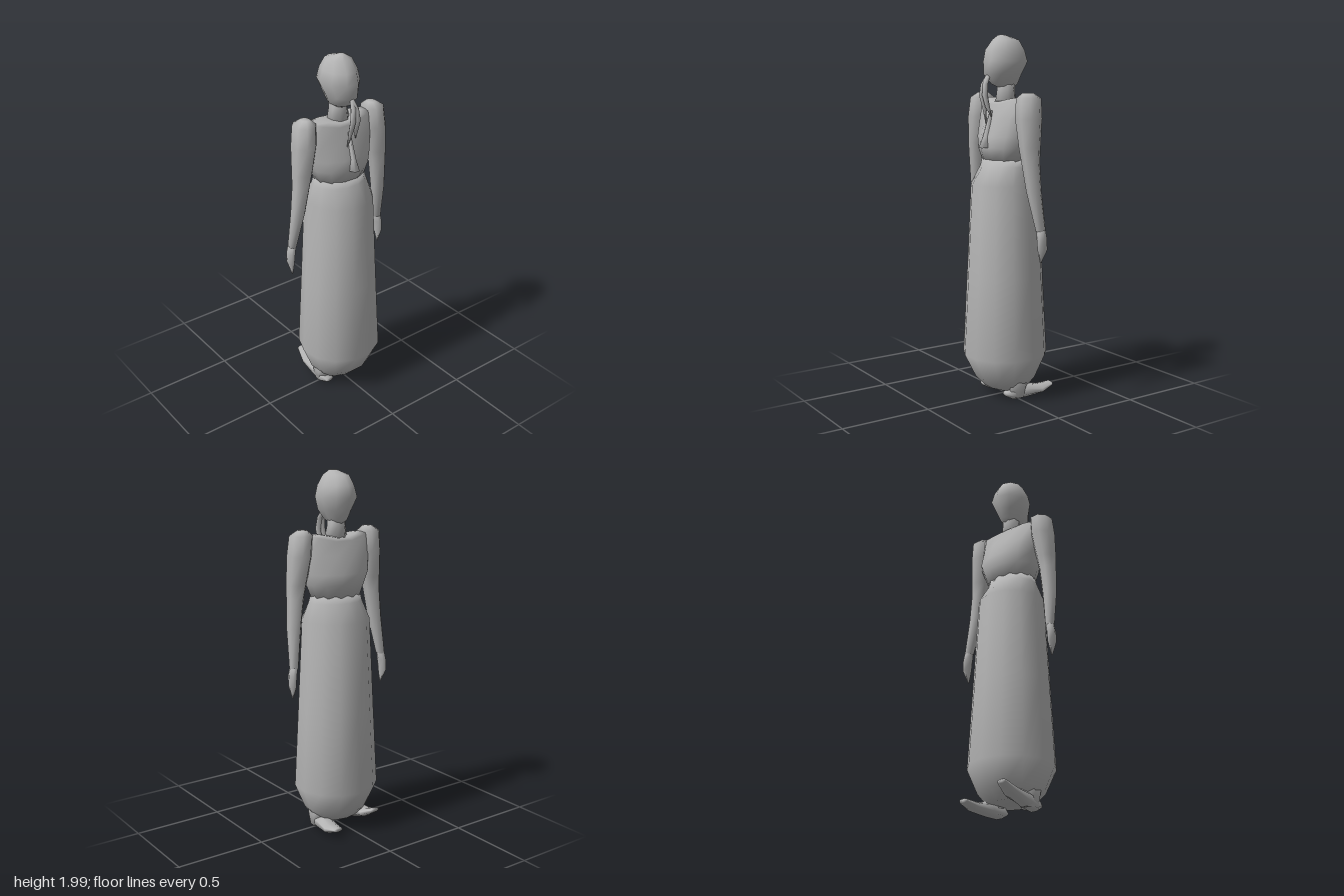
import * as THREE from 'three';

const grey = new THREE.MeshStandardMaterial({ color: 0xb4b4b4 });
grey.name = 'plainGrey';

// Smooth closed loft through flat elliptical rings [x, y, z, rx, rz], listed from top to bottom
function loft(name, rings, sides = 10, bend = null) {
  const pos = [], index = [], v = new THREE.Vector3();
  const add = (x, y, z) => {
    v.set(x, y, z);
    if (bend) bend(v);
    pos.push(v.x, v.y, v.z);
  };
  for (const [x, y, z, rx, rz] of rings) {
    for (let i = 0; i < sides; i++) {
      const a = ((i + 0.5) / sides) * Math.PI * 2;
      add(x + Math.sin(a) * rx, y, z + Math.cos(a) * rz);
    }
  }
  const last = rings.length - 1;
  const top = rings.length * sides, bottom = top + 1;
  add(...rings[0].slice(0, 3));
  add(...rings[last].slice(0, 3));
  for (let i = 0; i < sides; i++) {
    const j = (i + 1) % sides;
    for (let r = 0; r < last; r++) {
      const a = r * sides + i, b = r * sides + j;
      index.push(a, a + sides, b, b, a + sides, b + sides);
    }
    index.push(top, i, j, bottom, last * sides + j, last * sides + i);
  }
  const geo = new THREE.BufferGeometry();
  geo.setAttribute('position', new THREE.Float32BufferAttribute(pos, 3));
  geo.setIndex(index);
  geo.computeVertexNormals();
  const mesh = new THREE.Mesh(geo, grey);
  mesh.name = name;
  return mesh;
}

// Foot: cross-sections [z, centre y, half width, half height] from heel to toe
function foot(name, x, turn, toeLift) {
  const rings = [
    [0.07, 0.04, 0.025, 0.012], [0.03, 0.045, 0.045, 0.04], [-0.05, 0.045, 0.05, 0.04],
    [-0.14, 0.035, 0.05, 0.025], [-0.215, 0.05, 0.03, 0.012],
  ].map(([z, y, w, h]) => [0, -z, y, w, h]);
  const mesh = loft(name, rings.reverse(), 8, (p) => {
    const z = -p.y, y = p.z;
    p.set(p.x + x + turn * z, Math.max(0, y + toeLift * Math.max(0, -z)), z);
  });
  return mesh;
}

export function createModel() {
  const model = new THREE.Group();
  model.name = 'robedFigure';

  // Long skirt, pinched at waist and hem
  model.add(loft('skirt', [
    [0, 1.34, 0, 0.147, 0.113], [0, 1.3, 0, 0.157, 0.122], [0, 1.2, 0, 0.188, 0.188],
    [0, 0.7, 0, 0.213, 0.212], [0, 0.25, 0, 0.236, 0.236], [0, 0.12, 0, 0.185, 0.17],
    [0, 0.06, 0, 0.14, 0.11],
  ], 13));

  // Bodice with raised shoulder line and a full chest at -z
  model.add(loft('bodice', [
    [0, 1.645, -0.005, 0.06, 0.045], [0, 1.64, -0.005, 0.13, 0.07], [0, 1.62, -0.005, 0.2, 0.08],
    [0, 1.56, -0.005, 0.205, 0.1], [0, 1.46, -0.01, 0.195, 0.137], [0, 1.4, 0, 0.175, 0.132],
    [0, 1.33, 0, 0.147, 0.113],
  ], 12, (p) => {
    if (p.y > 1.6) p.y += 0.045 * Math.min(1, Math.abs(p.x) / 0.2);
  }));
  model.add(loft('backFold', [
    [0, 1.6, 0.088, 0.006, 0.008], [0, 1.46, 0.11, 0.02, 0.03], [0, 1.4, 0.12, 0.03, 0.045],
  ], 6));

  // Neck and head
  model.add(loft('neck', [
    [0, 1.78, -0.01, 0.05, 0.055], [0, 1.71, -0.008, 0.05, 0.05], [0, 1.63, -0.005, 0.068, 0.055],
  ], 8));
  model.add(loft('head', [
    [0, 2.0, 0.02, 0.02, 0.02], [0, 1.975, -0.005, 0.067, 0.075], [0, 1.92, -0.002, 0.09, 0.115],
    [0, 1.86, -0.005, 0.105, 0.128], [0, 1.79, 0.012, 0.077, 0.113], [0, 1.74, 0, 0.052, 0.08],
    [0, 1.72, -0.01, 0.03, 0.045],
  ], 9));

  // Tied hair hanging in two strands
  for (const [name, x, tip] of [['hairStrandLeft', 0.016, 1.565], ['hairStrandRight', -0.014, 1.53]]) {
    model.add(loft(name, [
      [0, 1.79, 0.105, 0.012, 0.012], [x * 0.6, 1.74, 0.132, 0.016, 0.014],
      [x, 1.68, 0.138, 0.018, 0.014], [x, 1.62, 0.122, 0.015, 0.012],
      [x * 1.8, tip, 0.105, 0.002, 0.002],
    ], 6));
  }

  // Full sleeves tapering to pointed hands, and feet
  for (const [side, s] of [['Left', 1], ['Right', -1]]) {
    model.add(loft('arm' + side, [
      [s * 0.215, 1.695, 0, 0.025, 0.03], [s * 0.222, 1.667, 0, 0.062, 0.07],
      [s * 0.23, 1.56, 0.005, 0.066, 0.075], [s * 0.247, 1.41, 0.01, 0.054, 0.06],
      [s * 0.255, 1.34, 0.01, 0.047, 0.052], [s * 0.272, 1.18, 0, 0.039, 0.042],
      [s * 0.294, 0.97, -0.03, 0.024, 0.028],
    ], 8));
    model.add(loft('hand' + side, [
      [s * 0.294, 0.98, -0.03, 0.022, 0.026], [s * 0.304, 0.93, -0.03, 0.022, 0.03],
      [s * 0.307, 0.87, -0.032, 0.017, 0.03], [s * 0.3, 0.8, -0.025, 0.003, 0.004],
    ], 6));
    model.add(loft('ankle' + side, [
      [s * 0.11, 0.16, 0, 0.07, 0.085], [s * 0.118, 0.08, 0, 0.055, 0.06], [s * 0.118, 0.02, 0, 0.045, 0.045],
    ], 8));
  }
  model.add(foot('footLeft', 0.115, -0.1, 0.05));
  model.add(foot('footRight', -0.12, 0, 0.3));
  return model;
}
